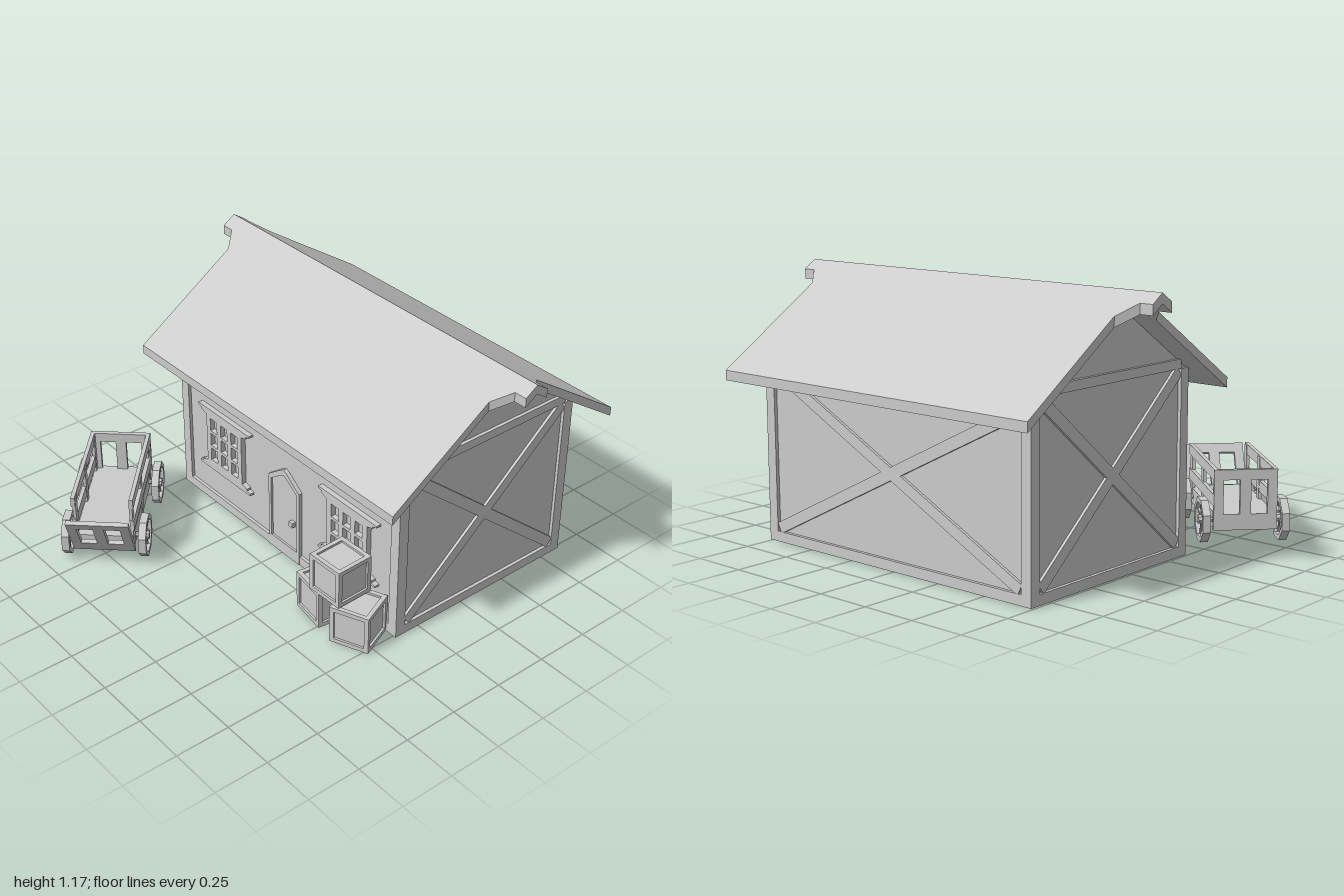
import * as THREE from 'three';

const mat = new THREE.MeshStandardMaterial({ color: 0xcccccc, flatShading: true, side: THREE.DoubleSide });

function add(parent, name, geo, x = 0, y = 0, z = 0) {
  const m = new THREE.Mesh(geo, mat);
  m.name = name;
  m.position.set(x, y, z);
  parent.add(m);
  return m;
}
const box = (parent, name, w, h, d, x, y, z) => add(parent, name, new THREE.BoxGeometry(w, h, d), x, y, z);

function group(parent, name, x = 0, y = 0, z = 0, ry = 0) {
  const g = new THREE.Group();
  g.name = name;
  g.position.set(x, y, z);
  g.rotation.y = ry;
  parent.add(g);
  return g;
}

const poly = (pts) => new THREE.Shape(pts.map(([x, y]) => new THREE.Vector2(x, y)));
const rect = (x0, y0, x1, y1) => poly([[x0, y0], [x1, y0], [x1, y1], [x0, y1]]);
function plate(shape, depth, holes = []) {
  shape.holes.push(...holes);
  return new THREE.ExtrudeGeometry(shape, { depth, bevelEnabled: false });
}

// Straight timber between two points on a wall; front face at z
function timber(parent, name, x1, y1, x2, y2, width, z = 0, depth = 0.02) {
  const m = box(parent, name, Math.hypot(x2 - x1, y2 - y1), width, depth, (x1 + x2) / 2, (y1 + y2) / 2, z - depth / 2);
  m.rotation.z = Math.atan2(y2 - y1, x2 - x1);
}

const HW = 0.7525, HD = 0.4925, EAVE = 0.8, RIDGE = 1.17, SLOPE = 0.667, THICK = 0.043;

// Recessed panel with corner posts, sill and top beam
function wall(house, name, half, gable, x, z, ry) {
  const g = group(house, name, x, 0, z, ry);
  const pts = [[-half, 0], [half, 0], [half, EAVE]];
  if (gable) pts.push([0, RIDGE - THICK]);
  pts.push([-half, EAVE]);
  add(g, 'wallPanel', plate(poly(pts), 0.012), 0, 0, -0.027);
  for (const s of [-1, 1]) box(g, 'cornerPost', 0.05, EAVE, 0.02, s * (half - 0.025), EAVE / 2, -0.01);
  box(g, 'sillBeam', 2 * half - 0.1, 0.045, 0.02, 0, 0.0225, -0.01);
  const top = gable ? 0.82 : 0.78;
  box(g, 'topBeam', 2 * half - 0.1, 0.04, 0.02, 0, top, -0.01);
  return g;
}

function crossBrace(g, half, top) {
  for (const s of [-1, 1]) timber(g, 'crossBrace', -s * (half - 0.06), 0.06, s * (half - 0.06), top, 0.05, -0.002, 0.016);
}

// Nine-pane window with stepped lintel and sill
function makeWindow(g, x) {
  const half = [[0.13, 0.233], [0.13, 0.225], [0.165, 0.215], [0.165, 0.205], [0.188, 0.2], [0.188, 0.19]].reverse();
  const right = half.concat(half.map(([a, b]) => [a, 0.703 - b]).reverse());
  const outline = right.concat(right.map(([a, b]) => [-a, b]).reverse());
  const holes = [];
  for (let c = -1; c <= 1; c++) for (let r = 0; r < 3; r++) {
    holes.push(rect(c * 0.077 - 0.024, 0.24 + r * 0.08, c * 0.077 + 0.024, 0.305 + r * 0.08));
  }
  add(g, 'window', plate(poly(outline), 0.024, holes), x, 0, -0.015);
}

function makeDoor(g, x) {
  const arch = (w, y0, shoulder, apex) =>
    poly([[-w, y0], [w, y0], [w, shoulder], [0.02, apex - 0.01], [0, apex], [-0.02, apex - 0.01], [-w, shoulder]]);
  add(g, 'doorFrame', plate(arch(0.107, 0, 0.385, 0.46), 0.018, [arch(0.09, 0.06, 0.37, 0.43)]), x, 0, -0.015);
  add(g, 'door', plate(arch(0.09, 0.06, 0.37, 0.43), 0.008), x, 0, -0.015);
  box(g, 'doorKnob', 0.025, 0.025, 0.02, x + 0.058, 0.2, 0.003);
}

// Roof half: plan outline with widened ridge ends, sheared down to the eave
function roofHalf(house, name, ry) {
  const right = [[0.853, -0.6275], [0.853, -0.132], [0.92, -0.06], [0.98, -0.06], [0.98, 0]];
  const geo = plate(poly(right.concat(right.map(([x, y]) => [-x, y]).reverse())), THICK);
  geo.rotateX(-Math.PI / 2);
  const p = geo.attributes.position;
  for (let i = 0; i < p.count; i++) p.setY(i, p.getY(i) - SLOPE * p.getZ(i) + RIDGE - THICK);
  geo.computeVertexNormals();
  add(house, name, geo).rotation.y = ry;
}

function makeCrate(parent, x, y, z, ry) {
  const S = 0.182, B = 0.02, e = (S - B) / 2;
  const g = group(parent, 'crate', x, y + S / 2, z, ry);
  box(g, 'cratePanels', S - 0.02, S - 0.02, S - 0.02, 0, 0, 0);
  for (const a of [-e, e]) for (const b of [-e, e]) {
    box(g, 'crateEdge', S, B, B, 0, a, b);
    box(g, 'crateEdge', B, S, B, a, 0, b);
    box(g, 'crateEdge', B, B, S, a, b, 0);
  }
}

// Eight-sided spoked wheel
function makeWheel(parent, x, z) {
  const g = group(parent, 'wheel', x, 0.105, z);
  const ring = (r) => poly(Array.from({ length: 8 }, (_, i) => {
    const a = (i + 0.5) * Math.PI / 4;
    return [r * Math.cos(a), r * Math.sin(a)];
  }));
  add(g, 'wheelRim', plate(ring(0.1), 0.034, [ring(0.078)]), 0, 0, -0.017);
  for (let i = 0; i < 4; i++) box(g, 'spokes', 0.16, 0.01, 0.012, 0, 0, 0).rotation.z = (i + 0.5) * Math.PI / 4;
  const hub = new THREE.CylinderGeometry(0.02, 0.02, 0.04, 8);
  add(g, 'wheelHub', hub.rotateX(Math.PI / 2));
}

// End gate with two openings; lean tips it outward
function makeGate(parent, name, x, height, lean) {
  const holes = [-1, 1].map((s) => rect(s * 0.06 - 0.036, 0.07, s * 0.06 + 0.036, height - 0.045));
  const geo = plate(rect(-0.138, 0, 0.138, height), 0.02, holes);
  geo.translate(0, 0, -0.01).rotateY(Math.PI / 2);
  add(parent, name, geo, x, 0.07, 0).rotation.z = -lean;
}

function makeCart(parent) {
  const g = group(parent, 'cart', -0.65, 0, 0.595, -0.75);
  box(g, 'cartBed', 0.54, 0.07, 0.26, 0, 0.105, 0);
  for (const s of [-1, 1]) {
    box(g, 'topRail', 0.54, 0.047, 0.018, 0, 0.313, s * 0.129);
    box(g, 'middleRail', 0.54, 0.05, 0.018, 0, 0.2, s * 0.129);
    for (const x of [-0.245, 0, 0.245]) box(g, 'sidePost', 0.04, 0.25, 0.014, x, 0.205, s * 0.125);
    for (const z of [-0.172, 0.172]) makeWheel(g, s * 0.205, z);
    const axle = new THREE.CylinderGeometry(0.012, 0.012, 0.34, 8);
    add(g, 'axle', axle.rotateX(Math.PI / 2), s * 0.205, 0.105, 0);
  }
  makeGate(g, 'rearGate', -0.262, 0.265, 0);
  makeGate(g, 'tailgate', 0.268, 0.27, 0.53);
}

export function createModel() {
  const model = new THREE.Group();
  model.name = 'cottageWithCart';

  const house = group(model, 'house', 0.0125, 0, -0.365);
  const front = wall(house, 'frontWall', HW, false, 0, HD, 0);
  for (const x of [-0.4245, 0.4345]) makeWindow(front, x);
  makeDoor(front, 0.003);
  crossBrace(wall(house, 'backWall', HW, false, 0, -HD, Math.PI), HW, 0.75);
  for (const s of [-1, 1]) {
    crossBrace(wall(house, 'gableWall', HD, true, s * HW, 0, s * Math.PI / 2), HD, 0.79);
  }
  roofHalf(house, 'frontRoof', 0);
  roofHalf(house, 'backRoof', Math.PI);

  // Stacked crates beside the front wall
  makeCrate(model, 0.433, 0, 0.235, -0.15);
  makeCrate(model, 0.65, 0, 0.238, 0.4);
  makeCrate(model, 0.542, 0.184, 0.248, 0.03);

  makeCart(model);
  return model;
}
